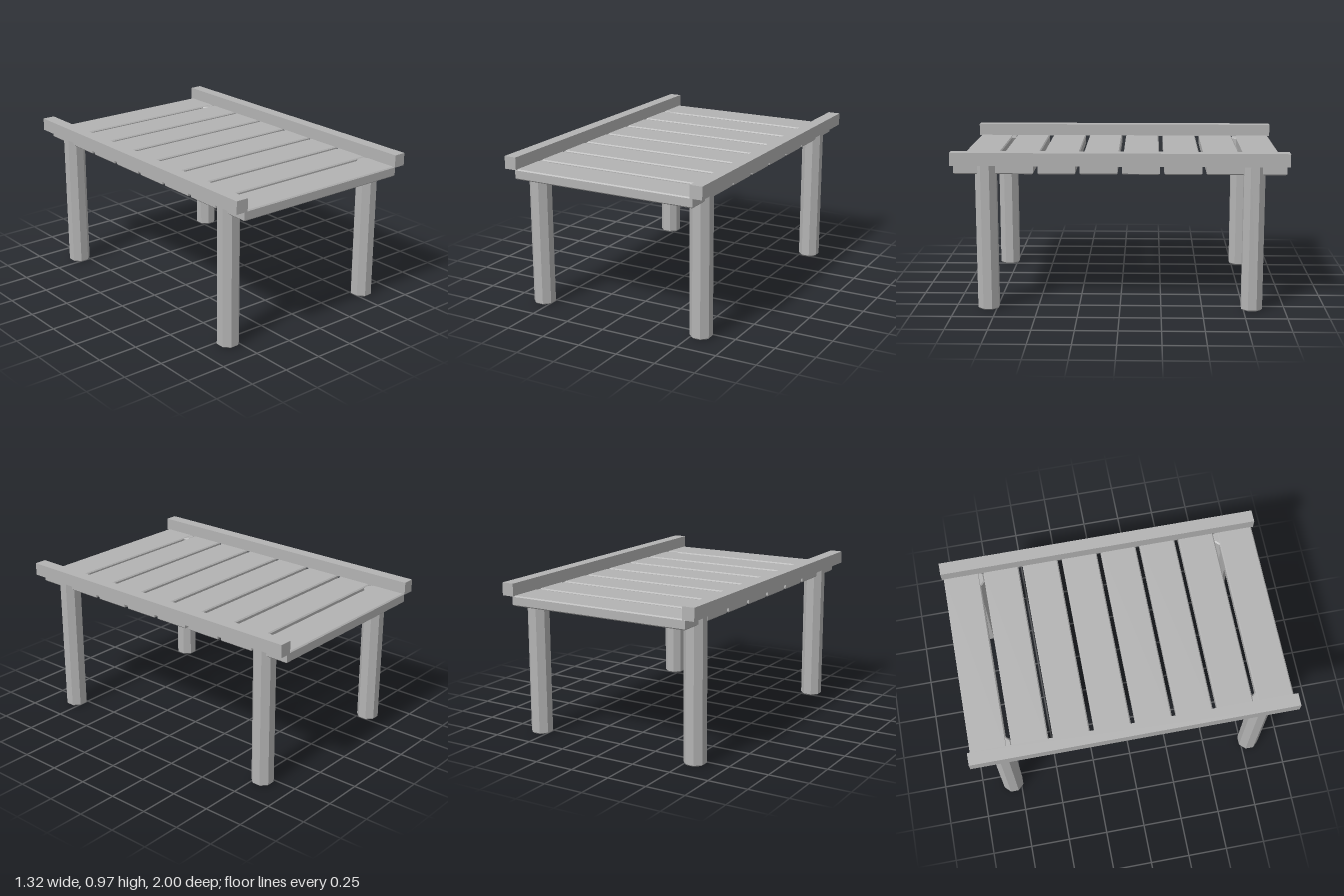
import * as THREE from 'three';

// Upright prism from a ground outline, with small chamfers on its top and bottom rims
function chamferedPrism(outline, height, bevel) {
  const shape = new THREE.Shape(outline);
  const geometry = new THREE.ExtrudeGeometry(shape, {
    depth: height - 2 * bevel,
    bevelEnabled: true,
    bevelThickness: bevel,
    bevelSize: bevel,
    bevelOffset: -bevel,
    bevelSegments: 1,
  });
  geometry.translate(0, 0, bevel);
  geometry.rotateX(-Math.PI / 2);
  return geometry;
}

export function createModel() {
  const model = new THREE.Group();
  model.name = 'dockSection';
  const grey = new THREE.MeshStandardMaterial({ color: 0xb3b3b3 });
  grey.name = 'plain grey';

  const add = (name, geometry, x, y, z) => {
    const mesh = new THREE.Mesh(geometry, grey);
    mesh.name = name;
    mesh.position.set(x, y, z);
    model.add(mesh);
  };

  // Eight deck planks with narrow gaps between them
  const hw = 0.596, hd = 0.112;
  const plank = chamferedPrism([
    new THREE.Vector2(-hw, -hd), new THREE.Vector2(hw, -hd),
    new THREE.Vector2(hw, hd), new THREE.Vector2(-hw, hd),
  ], 0.063, 0.007);
  for (let i = 0; i < 8; i++) add('plank', plank, 0, 0.834, 0.877 - i * 0.2506);

  // Octagonal posts, flat sides facing along the axes
  const radius = 0.063 / Math.cos(Math.PI / 8);
  const octagon = [];
  for (let i = 0; i < 8; i++) {
    const a = (i + 0.5) * Math.PI / 4;
    octagon.push(new THREE.Vector2(Math.cos(a) * radius, Math.sin(a) * radius));
  }
  const post = chamferedPrism(octagon, 0.894, 0.008);
  const rail = new THREE.BoxGeometry(0.078, 0.078, 2);

  for (const side of [-1, 1]) {
    for (const end of [-1, 1]) add('post', post, side * 0.552, 0, end * 0.8);
    // Square rail along each edge of the deck
    add('rail', rail, side * 0.621, 0.933, 0);
  }
  return model;
}
